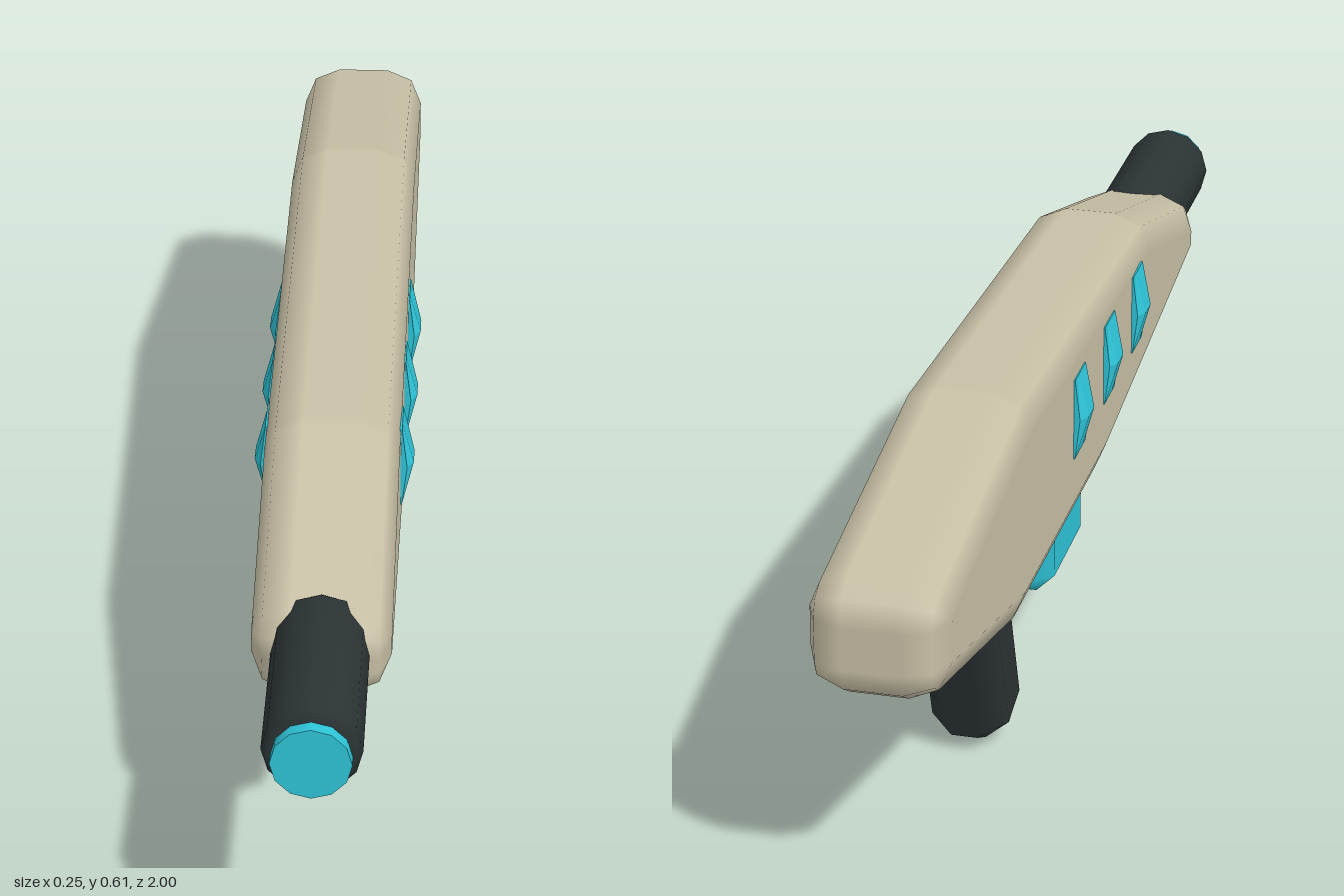
import * as THREE from 'three';

const mat = (name, color) => {
  const m = new THREE.MeshStandardMaterial({ color });
  m.name = name;
  return m;
};

// Convex side profile of [z, y] points (counter-clockwise), grown by a rounded
// edge of radius r and given a total width of 2 * halfW along x.
function roundedSlab(profile, halfW, r, steps, arcSteps) {
  const n = profile.length;
  const edgeAngle = (i) => {
    const [a, b] = [profile[i % n], profile[(i + 1) % n]];
    return Math.atan2(a[0] - b[0], b[1] - a[1]);
  };
  // rim: each corner swept between the normals of its two edges
  const rim = [];
  for (let i = 0; i < n; i++) {
    const a0 = edgeAngle(i + n - 1);
    let turn = edgeAngle(i) - a0;
    while (turn < 0) turn += Math.PI * 2;
    const k = turn > 0.6 ? arcSteps : 1;
    for (let s = 0; s <= k; s++) rim.push([...profile[i], a0 + (turn * s) / k]);
  }
  // layers from +x to -x: [x, rim offset, normal x, normal rim]
  const layers = [];
  for (const side of [1, -1]) {
    for (let s = 0; s <= steps; s++) {
      const t = (Math.PI / 2) * (side > 0 ? s : steps - s) / steps;
      layers.push([side * (halfW - r + r * Math.cos(t)), r * Math.sin(t), side * Math.cos(t), Math.sin(t)]);
    }
  }
  const pos = [], nor = [], idx = [], m = rim.length;
  for (const [x, off, nx, nr] of layers) {
    for (const [z, y, a] of rim) {
      pos.push(x, y + off * Math.sin(a), z + off * Math.cos(a));
      nor.push(nx, nr * Math.sin(a), nr * Math.cos(a));
    }
  }
  for (let j = 0; j < layers.length - 1; j++) {
    for (let i = 0; i < m; i++) {
      const a = j * m + i, c = j * m + (i + 1) % m;
      idx.push(a, c, a + m, c, c + m, a + m);
    }
  }
  // flat side caps
  const last = (layers.length - 1) * m;
  for (let i = 1; i < m - 1; i++) {
    idx.push(0, i + 1, i, last, last + i, last + i + 1);
  }
  const g = new THREE.BufferGeometry();
  g.setAttribute('position', new THREE.Float32BufferAttribute(pos, 3));
  g.setAttribute('normal', new THREE.Float32BufferAttribute(nor, 3));
  g.setIndex(idx);
  return g;
}

// Ridged vent on the +x wall: peaked at mid height, bevelled toward both ends
function ventGeometry() {
  const h = 0.067, w = 0.036;
  const box = new THREE.BoxGeometry(1, h * 2, w * 2, 1, 2, 3);
  const p = box.attributes.position;
  for (let i = 0; i < p.count; i++) {
    const y = p.getY(i), z = p.getZ(i);
    const end = Math.abs(z) > w * 0.9;
    const peak = 0.018 * (1 - Math.abs(y) / h) * (end ? 0.45 : 1);
    p.setX(i, p.getX(i) > 0 ? 0.105 + peak : 0.09);
    if (!end) p.setZ(i, Math.sign(z) * w * 0.5);
  }
  const g = box.toNonIndexed();
  g.computeVertexNormals();
  return g;
}

export function createModel() {
  const group = new THREE.Group();
  const beige = mat('beige shell', 0xc8c0a6);
  const cyan = mat('cyan accent', 0x2ec4d8);
  const dark = mat('dark grey', 0x2b3335);

  const add = (name, geometry, material) => {
    const mesh = new THREE.Mesh(geometry, material);
    mesh.name = name;
    group.add(mesh);
    return mesh;
  };

  // main shell
  add('body', roundedSlab([
    [-0.52, 0.3], [0.02, 0.295], [0.68, 0.372], [0.683, 0.397],
    [0.33, 0.502], [-0.48, 0.545], [-0.94, 0.47], [-0.94, 0.405],
  ], 0.103, 0.06, 2, 2), beige);

  // energy cell under the body
  add('cell', roundedSlab([
    [-0.16, 0.14], [0.02, 0.14], [0.02, 0.27], [-0.16, 0.27],
  ], 0.061, 0.03, 1, 1), cyan);

  // raked grip
  add('grip', roundedSlab([
    [-0.46, 0.038], [-0.393, 0.058], [-0.455, 0.25], [-0.522, 0.225],
  ], 0.061, 0.04, 1, 1), dark);

  // barrel with bevelled rims, and its glowing tip
  const barrelProfile = [
    [0, 0.66], [0.06, 0.66], [0.072, 0.68], [0.072, 0.965], [0.062, 0.98], [0, 0.98],
  ].map(([r, y]) => new THREE.Vector2(r, y));
  const barrel = add('barrel', new THREE.LatheGeometry(barrelProfile, 12), dark);
  const tip = add('barrelTip', new THREE.CylinderGeometry(0.058, 0.058, 0.1, 12), cyan);
  barrel.rotation.x = tip.rotation.x = Math.PI / 2;
  barrel.position.y = 0.399;
  tip.position.set(0, 0.399, 0.95);

  // three vents on each side
  const vent = ventGeometry();
  for (const z of [0.237, 0.032, -0.174]) {
    for (const side of [1, -1]) {
      const mesh = add(side > 0 ? 'leftVent' : 'rightVent', vent, cyan);
      mesh.position.set(0, 0.442, z);
      if (side < 0) mesh.rotation.y = Math.PI;
    }
  }
  return group;
}
